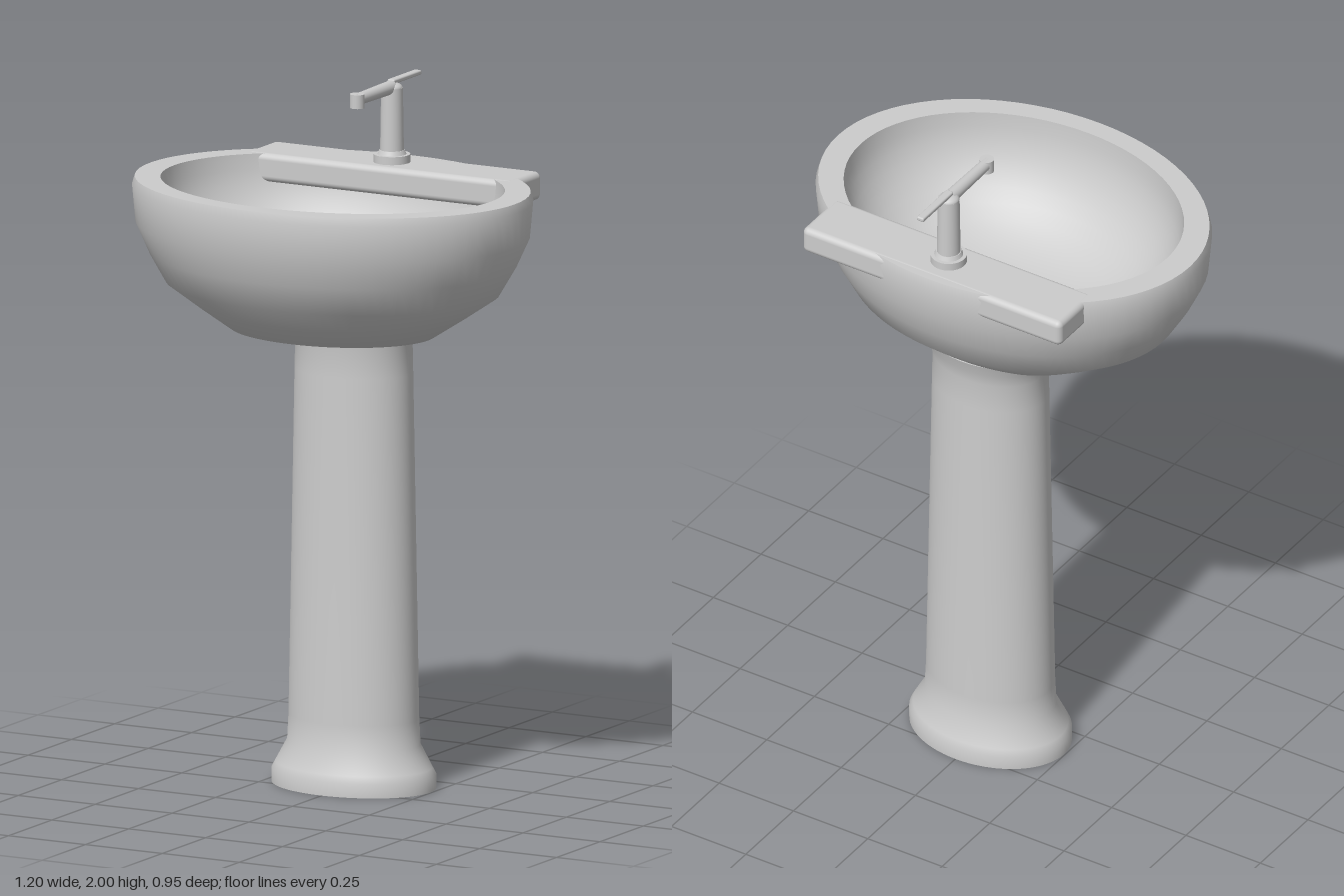
import * as THREE from 'three';
import { toCreasedNormals } from 'three/addons/utils/BufferGeometryUtils.js';
import { RoundedBoxGeometry } from 'three/addons/geometries/RoundedBoxGeometry.js';

const ceramic = new THREE.MeshStandardMaterial({ color: 0xcccccc });
ceramic.name = 'ceramicGrey';

function part(group, name, geometry, x = 0, y = 0, z = 0) {
  const mesh = new THREE.Mesh(geometry, ceramic);
  mesh.name = name;
  mesh.position.set(x, y, z);
  group.add(mesh);
  return mesh;
}

// Elliptical turned form: points are [half width in x, height], squashed in z
function ellipticLathe(points, depthRatio, crease = 0.75) {
  const geometry = new THREE.LatheGeometry(points.map(([r, y]) => new THREE.Vector2(r, y)), 72);
  geometry.scale(1, 1, depthRatio);
  geometry.deleteAttribute('normal');
  geometry.computeVertexNormals();
  return toCreasedNormals(geometry, crease);
}

// Round bar along z
function bar(r1, r2, length) {
  return new THREE.CylinderGeometry(r1, r2, length, 24).rotateX(Math.PI / 2);
}

export function createModel() {
  const sink = new THREE.Group();
  sink.name = 'pedestalSink';

  // Pedestal with flared foot and collar
  part(sink, 'pedestal', ellipticLathe([
    [0, 0], [0.247, 0], [0.247, 0.04], [0.236, 0.06], [0.2, 0.125], [0.196, 0.2],
    [0.178, 1.2], [0.176, 1.29], [0.187, 1.33], [0.202, 1.365], [0, 1.365],
  ], 0.75), 0, 0, -0.105);

  // Basin: outer shell, flat rim, then hollow inside
  const basinZ = 0.017;
  const inside = [];
  for (let i = 0; i <= 12; i++) {
    const a = (i / 12) * Math.PI / 2;
    inside.push([0.515 * Math.cos(a) ** 0.8, 1.76 - 0.34 * Math.sin(a)]);
  }
  inside[12][0] = 0;
  part(sink, 'basin', ellipticLathe([
    [0, 1.337], [0.31, 1.337], [0.405, 1.398], [0.5, 1.462], [0.55, 1.545], [0.59, 1.63],
    [0.6, 1.735], [0.592, 1.76], ...inside,
  ], 0.76), 0, 0, basinZ);
  part(sink, 'drain', new THREE.CylinderGeometry(0.04, 0.04, 0.012, 32), 0, 1.424, basinZ);

  // Tap ledge across the back
  part(sink, 'tapLedge', new RoundedBoxGeometry(0.87, 0.082, 0.18, 4, 0.018), 0, 1.72, -0.33);

  // Tap
  const tap = new THREE.Group();
  tap.name = 'tap';
  tap.position.set(0, 0, -0.325);
  sink.add(tap);
  part(tap, 'tapFlange', new THREE.CylinderGeometry(0.052, 0.052, 0.024, 36), 0, 1.772, 0);
  part(tap, 'tapCollar', new THREE.CylinderGeometry(0.036, 0.042, 0.014, 36), 0, 1.789, 0);
  part(tap, 'tapBody', new THREE.CylinderGeometry(0.031, 0.034, 0.19, 36), 0, 1.88, 0);
  part(tap, 'tapCap', new THREE.SphereGeometry(0.031, 24, 12).scale(1, 0.55, 1), 0, 1.974, 0);
  part(tap, 'spout', bar(0.017, 0.02, 0.2), 0, 1.977, 0.105);
  part(tap, 'spoutNozzle', new THREE.CylinderGeometry(0.021, 0.021, 0.04, 24), 0, 1.973, 0.2);
  part(tap, 'lever', new RoundedBoxGeometry(0.024, 0.014, 0.16, 2, 0.005), 0, 1.993, -0.072);

  return sink;
}
